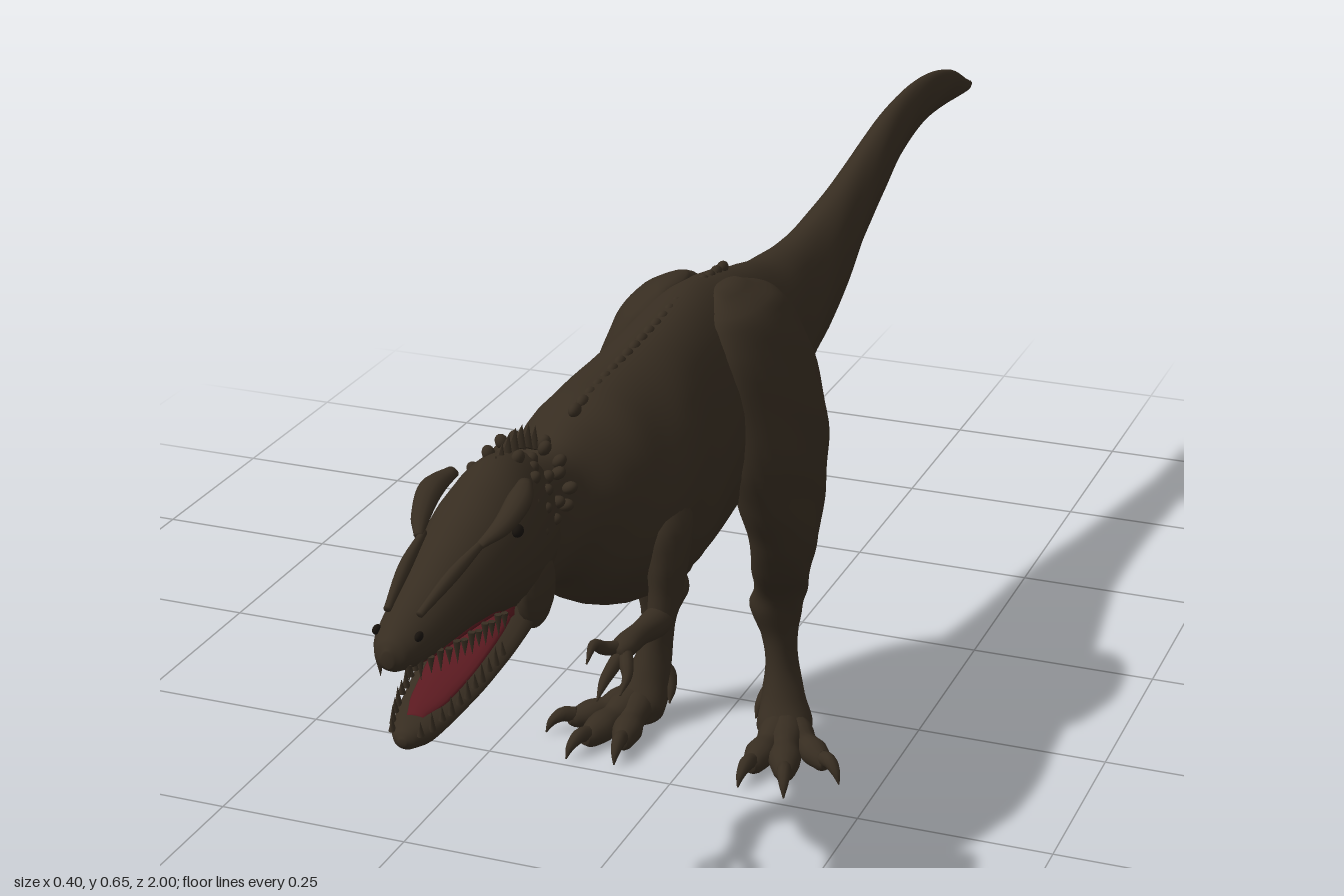
import * as THREE from 'three';

const mat = (name, color) => Object.assign(new THREE.MeshStandardMaterial({ color }), { name });

// Smooth skin through sections [x, y, z, halfWidth, halfHeight].
// axis fixes the plane of the rings; without it they follow the path.
// pear > 0 widens the lower half, fold adds shallow skin folds.
function loft(sections, { axis = null, n = 24, steps = 5, pear = 0, fold = 0 } = {}) {
  const path = new THREE.CatmullRomCurve3(sections.map(s => new THREE.Vector3(s[0], s[1], s[2])));
  const size = new THREE.CatmullRomCurve3(sections.map(s => new THREE.Vector3(s[3], s[4], 0)), false, 'catmullrom', 0.4);
  const rows = (sections.length - 1) * steps;
  const pos = [], idx = [];
  const side = new THREE.Vector3(), up = new THREE.Vector3(), p = new THREE.Vector3();
  for (let i = 0; i <= rows; i++) {
    const u = i / rows, c = path.getPoint(u), r = size.getPoint(u);
    const t = axis || path.getTangent(u);
    side.set(1, 0, 0).addScaledVector(t, -t.x).normalize();
    up.crossVectors(t, side);
    for (let j = 0; j < n; j++) {
      const a = j / n * Math.PI * 2;
      const k = 1 + fold * Math.sin(6 * Math.sin(a) + u * 60) * Math.abs(Math.cos(a));
      p.copy(c)
        .addScaledVector(side, Math.cos(a) * Math.max(r.x, 0.0005) * k * (1 - pear * Math.sin(a)))
        .addScaledVector(up, Math.sin(a) * Math.max(r.y, 0.0005) * k);
      pos.push(p.x, p.y, p.z);
    }
  }
  for (let i = 0; i < rows; i++) for (let j = 0; j < n; j++) {
    const a = i * n + j, b = i * n + (j + 1) % n;
    idx.push(a, b, a + n, b, b + n, a + n);
  }
  // End caps
  const first = path.getPoint(0), last = path.getPoint(1), e = pos.length / 3;
  pos.push(first.x, first.y, first.z, last.x, last.y, last.z);
  for (let j = 0; j < n; j++) {
    const k = (j + 1) % n;
    idx.push(e, k, j, e + 1, rows * n + j, rows * n + k);
  }
  const g = new THREE.BufferGeometry();
  g.setAttribute('position', new THREE.Float32BufferAttribute(pos, 3));
  g.setIndex(idx);
  g.computeVertexNormals();
  return g;
}

export function createModel() {
  const model = new THREE.Group();
  model.name = 'dinosaur';
  const hide = mat('brown hide', 0x372d21);
  const red = mat('mouth red', 0x5a1a20);
  const dark = mat('dark eye', 0x17120d);
  const Z = new THREE.Vector3(0, 0, 1), DOWN = new THREE.Vector3(0, -1, 0);

  const add = (name, geo, material = hide, parent = model) => {
    const m = new THREE.Mesh(geo, material);
    m.name = name;
    parent.add(m);
    return m;
  };
  const ball = (name, x, y, z, a, b, c, material = hide, parent = model) => {
    const m = add(name, new THREE.SphereGeometry(1, 16, 12), material, parent);
    m.position.set(x, y, z);
    m.scale.set(a, b, c);
    return m;
  };
  // Profile rows [z, top, bottom, halfWidth] along the midline
  const profile = rows => rows.map(([z, t, b, w]) => [0, (t + b) / 2, z, w, (t - b) / 2]);

  // Tail, trunk and neck
  add('body', loft(profile([
    [-1, .581, .573, .003], [-.98, .589, .571, .007], [-.9, .625, .579, .013], [-.8, .648, .588, .017],
    [-.7, .655, .588, .020], [-.6, .647, .572, .024], [-.5, .625, .54, .029], [-.4, .604, .503, .036],
    [-.3, .588, .46, .045], [-.2, .585, .428, .055], [-.1, .594, .405, .065], [0, .615, .37, .075],
    [.1, .638, .355, .088], [.18, .648, .34, .094], [.3, .636, .325, .1], [.4, .63, .34, .112],
    [.48, .626, .36, .108], [.54, .61, .39, .085], [.6, .598, .44, .057], [.66, .612, .457, .05],
    [.72, .63, .465, .05], [.76, .62, .48, .04]]),
  { axis: Z, n: 36, pear: .12, fold: .018 }));

  // Keel between the legs
  add('pelvicKeel', loft(profile([
    [.1, .4, .35, .02], [.18, .42, .305, .035], [.24, .42, .283, .036], [.3, .42, .298, .042],
    [.38, .42, .33, .05], [.44, .41, .36, .03]]), { axis: Z, fold: .04 }));

  // Head
  const head = new THREE.Group();
  head.name = 'head';
  model.add(head);
  add('skull', loft(profile([
    [.65, .6, .5, .03], [.68, .632, .475, .05], [.73, .643, .468, .058], [.78, .63, .483, .06],
    [.83, .61, .497, .053], [.88, .592, .503, .045], [.93, .573, .505, .037], [.97, .56, .508, .029],
    [.992, .548, .513, .018], [1, .538, .52, .006]]), { axis: Z, n: 28, pear: .08 }), hide, head);
  add('lowerJaw', loft(profile([
    [.69, .5, .462, .035], [.74, .5, .452, .05], [.79, .478, .443, .049], [.85, .459, .43, .043],
    [.91, .446, .418, .034], [.95, .44, .411, .025], [.97, .435, .414, .013], [.976, .428, .42, .004]]),
  { axis: Z, n: 24 }), hide, head);
  add('mouthFloor', loft(profile([
    [.74, .51, .48, .03], [.79, .486, .465, .033], [.85, .464, .45, .029], [.91, .45, .436, .021],
    [.945, .443, .432, .01]]), { axis: Z, n: 16 }), red, head);
  add('palate', loft(profile([
    [.75, .52, .474, .036], [.8, .52, .489, .035], [.87, .52, .499, .03], [.94, .52, .502, .022],
    [.97, .52, .508, .012]]), { axis: Z, n: 16 }), red, head);
  ball('throat', 0, .482, .77, .034, .03, .018, red, head);

  // Teeth along both jaws, z from back to front
  const jaw = (name, count, z0, z1, y, w, length, flip) => {
    for (const s of [-1, 1]) for (let i = 0; i < count; i++) {
      const u = i / (count - 1);
      const t = add(name, new THREE.ConeGeometry(.0042, length * (i % 2 ? 1 : .75), 6), hide, head);
      t.position.set(s * w(u), y(u), z0 + (z1 - z0) * u);
      t.rotation.x = flip ? Math.PI : 0;
    }
  };
  jaw('upperTooth', 13, .82, .985, u => .499 + .012 * u, u => .046 - .012 * u - .018 * u ** 4, .026, true);
  jaw('lowerTooth', 11, .82, .965, u => .468 - .03 * u, u => .042 - .012 * u - .014 * u ** 4, .022, false);

  for (const s of [-1, 1]) {
    // Brow, snout ridge, eye, nostril and cheek
    add('browRidge', loft([[s * .042, .628, .75, .008, .006], [s * .05, .622, .785, .014, .011],
      [s * .046, .607, .82, .011, .009], [s * .035, .597, .85, .005, .004]], { n: 12 }), hide, head);
    add('snoutRidge', loft([[s * .034, .597, .84, .004, .004], [s * .027, .584, .9, .007, .007],
      [s * .018, .565, .96, .004, .004]], { n: 10 }), hide, head);
    ball('eye', s * .0535, .594, .797, .006, .007, .008, dark, head);
    ball('nostril', s * .0235, .548, .974, .004, .005, .007, dark, head);
    ball('cheek', s * .044, .5, .735, .016, .045, .038, hide, head);
    // Rough scales behind the head
    for (let i = 0; i < 7; i++) for (let k = 0; k < 3; k++) {
      const a = .35 + k * .42 + (i % 2) * .18;
      const b = ball('napeScale', s * Math.sin(a) * .05, .548 + Math.cos(a) * (.086 + .01 * Math.sin(i * 2)),
        .645 + i * .017, .007, .009, .008, hide, head);
      b.rotation.z = -s * a;
    }
  }
  for (let i = 0; i < 8; i++) {
    const spike = add('napeSpike', new THREE.ConeGeometry(.009, .026, 6), hide, head);
    spike.position.set(0, .617 + .029 * Math.sin((i + 1.2) / 9 * Math.PI), .635 + i * .017);
    spike.rotation.x = -.5;
  }

  for (const s of [-1, 1]) {
    const limb = (rows, options) => loft(rows.map(([x, ...rest]) => [s * x, ...rest]), options);

    // Hind leg
    const leg = new THREE.Group();
    leg.name = s > 0 ? 'leftLeg' : 'rightLeg';
    model.add(leg);
    add('thighAndShank', limb([
      [.035, .64, .135, .012, .03], [.05, .615, .13, .038, .085], [.067, .57, .125, .046, .108],
      [.082, .51, .12, .05, .12], [.096, .44, .122, .051, .122], [.104, .38, .125, .047, .1],
      [.109, .32, .132, .042, .062], [.102, .27, .122, .037, .042], [.088, .22, .086, .034, .036],
      [.079, .19, .077, .034, .035], [.083, .15, .074, .023, .026], [.087, .11, .076, .021, .025],
      [.093, .07, .086, .028, .028], [.1, .035, .1, .036, .036], [.102, .012, .102, .03, .03]],
    { axis: DOWN, n: 28, fold: .02 }), hide, leg);
    ball('ankleKnob', s * .058, .192, .072, .014, .022, .02, hide, leg);

    // Toes [end x, end z, thickness], each with knuckles and a claw
    for (const [ex, ez, r] of [[.088, .2, .02], [.137, .205, .021], [.178, .16, .018]]) {
      const at = (u, y) => [.1 + (ex - .1) * u, y, .095 + (ez - .095) * u];
      add('toe', limb([[...at(0, .04), r, r], [...at(.3, .034), r * 1.1, r * 1.05], [...at(.5, .027), r * .85, r * .9],
        [...at(.7, .024), r, r * .95], [...at(.9, .02), r * .7, r * .75], [...at(1, .02), r * .4, r * .4]],
      { n: 14 }), hide, leg);
      add('claw', limb([[...at(.9, .025), .009, .01], [...at(1.08, .028), .009, .01],
        [...at(1.22, .02), .006, .006], [...at(1.3, .006), .001, .001]], { n: 10 }), hide, leg);
    }
    // Small inner toe
    add('spurToe', limb([[.085, .08, .08, .012, .012], [.07, .065, .078, .011, .012],
      [.062, .05, .09, .007, .007], [.06, .035, .1, .001, .001]], { n: 10 }), hide, leg);

    // Arm
    const arm = new THREE.Group();
    arm.name = s > 0 ? 'leftArm' : 'rightArm';
    model.add(arm);
    add('upperArm', limb([[.08, .52, .46, .015, .02], [.092, .48, .475, .025, .042], [.097, .44, .488, .023, .036],
      [.097, .4, .497, .019, .025], [.095, .372, .503, .017, .02], [.093, .356, .508, .008, .01]],
    { axis: DOWN, n: 18 }), hide, arm);
    add('forearm', limb([[.096, .372, .495, .013, .012], [.094, .37, .52, .017, .018], [.088, .37, .555, .013, .014],
      [.083, .368, .585, .015, .013], [.081, .364, .603, .008, .008]], { n: 16 }), hide, arm);
    // Clawed fingers
    for (const [fx, fy, fz] of [[.062, .376, .64], [.078, .338, .65], [.1, .342, .636]]) {
      const mx = (fx + .083) / 2 + (fx - .083) * .2;
      add('finger', limb([[.083, .367, .585, .008, .008], [mx, (fy + .372) / 2, .61, .008, .008],
        [fx, fy + .008, fz - .015, .006, .006], [fx, fy - .006, fz + .006, .001, .001]], { n: 10 }), hide, arm);
    }
  }

  // Low knobs along the spine
  for (let i = 0; i < 22; i++) {
    const z = .06 + i * .022;
    const top = .645 - .02 * Math.abs(z - .18) / .3;
    ball('spineKnob', 0, top - .005, z, .007, .008, .011);
  }
  return model;
}
